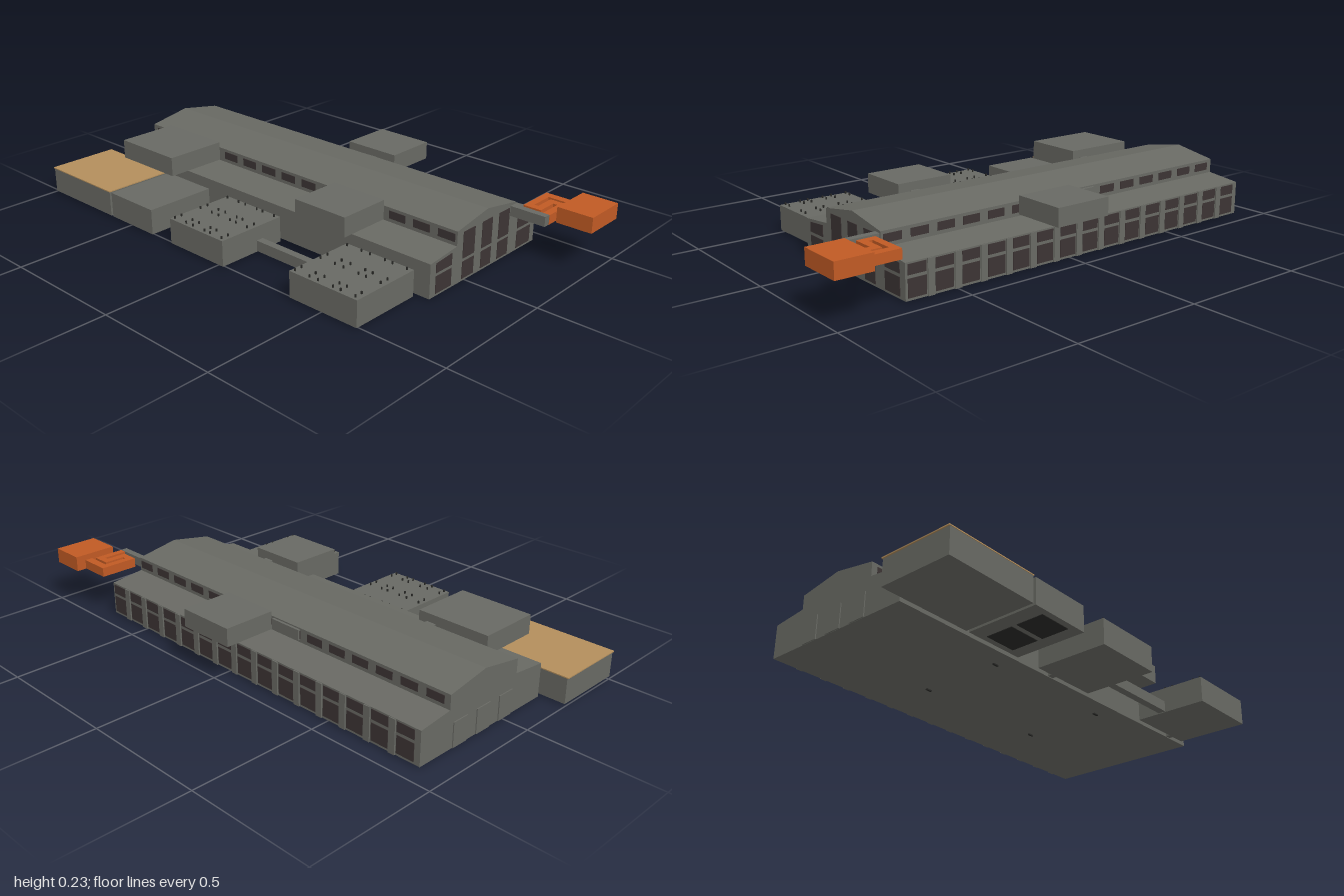
import * as THREE from 'three';

const mat = (name, color) => {
  const m = new THREE.MeshStandardMaterial({ color });
  m.name = name;
  return m;
};

export function createModel() {
  const grey = mat('concrete grey', 0x686963);
  const dark = mat('window dark', 0x3c3434);
  const orange = mat('duct orange', 0xc05a24);
  const tan = mat('roof tan', 0xb38e5c);
  const black = mat('vent black', 0x2a2a28);
  const model = new THREE.Group();
  model.name = 'factoryComplex';

  // Box given by its limits on each axis
  const box = (name, material, x0, x1, y0, y1, z0, z1, parent = model) => {
    const mesh = new THREE.Mesh(new THREE.BoxGeometry(x1 - x0, y1 - y0, z1 - z0), material);
    mesh.position.set((x0 + x1) / 2, (y0 + y1) / 2, (z0 + z1) / 2);
    mesh.name = name;
    parent.add(mesh);
    return mesh;
  };
  // Outline in x and y, extruded along z
  const prism = (name, material, points, z0, z1) => {
    const shape = new THREE.Shape(points.map(([x, y]) => new THREE.Vector2(x, y)));
    const geo = new THREE.ExtrudeGeometry(shape, { depth: z1 - z0, bevelEnabled: false });
    geo.translate(0, 0, z0);
    const mesh = new THREE.Mesh(geo, material);
    mesh.name = name;
    model.add(mesh);
  };

  // Main hall with stepped roof and raised central nave
  const back = -0.9, front = 0.71;
  prism('mainHall', grey, [
    [-0.205, 0.005], [0.428, 0.005], [0.428, 0.135], [0.29, 0.15], [0.29, 0.205],
    [0.115, 0.235], [-0.06, 0.205], [-0.06, 0.15], [-0.205, 0.135],
  ], back, front);

  // Front windows
  const zf = front - 0.001, zp = front + 0.002;
  for (const [a, b] of [[-0.025, 0.042], [0.086, 0.146], [0.188, 0.252]]) {
    box('frontWindow', dark, a, b, 0.014, 0.08, zf, zp);
    box('frontWindowUpper', dark, a, b, 0.092, 0.193, zf, zp);
  }
  for (const s of [-1, 1]) {
    const inner = 0.112 + s * 0.199, outer = 0.112 + s * 0.286;
    box('frontAisleWindow', dark, Math.min(inner, outer), Math.max(inner, outer), 0.014, 0.08, zf, zp);
    const pts = [[outer, 0.092], [inner, 0.092], [inner, 0.136], [outer, 0.128]];
    prism('frontAisleWindowUpper', dark, s < 0 ? pts : pts.reverse(), zf, zp);
  }

  // Side windows, clerestory windows and pilasters in fifteen bays
  for (let i = 0; i < 15; i++) {
    const z = 0.665 - i * 0.1075, a = z - 0.036, b = z + 0.036;
    box('sideWindow', dark, 0.426, 0.43, 0.014, 0.08, a, b);
    box('sideWindowUpper', dark, 0.426, 0.43, 0.092, 0.129, a, b);
    box('clerestoryWindowLeft', dark, 0.289, 0.292, 0.164, 0.194, a, b);
    box('clerestoryWindowRight', dark, -0.062, -0.059, 0.164, 0.194, a, b);
    if (i < 14) box('pilaster', grey, 0.427, 0.433, 0.005, 0.134, z - 0.067, z - 0.04);
  }

  // Shallow blind doors on the back wall
  for (const x of [-0.04, 0.08, 0.2]) box('backDoor', grey, x, x + 0.07, 0.006, 0.1, back - 0.004, back + 0.001);

  // Annex blocks along the right side
  const annexes = [[-0.995, -0.622], [-0.61, -0.365], [-0.255, 0.03], [0.36, 0.658]];
  for (const [a, b] of annexes) box('annex', grey, -0.513, -0.225, 0.005, 0.105, a, b);
  box('annexTanRoof', tan, -0.515, -0.223, 0.104, 0.108, -1, -0.62);
  for (const x of [-0.475, -0.4]) box('annexLink', grey, x - 0.01, x + 0.01, 0.02, 0.06, -0.623, -0.609);
  for (const x of [-0.49, -0.36]) box('annexFloorHatch', black, x, x + 0.11, 0.003, 0.006, -0.55, -0.42);

  // Low passages between annexes and hall
  box('passage', grey, -0.346, -0.316, 0.008, 0.05, 0.029, 0.361);
  for (const z of [-0.165, 0.59]) box('hallPassage', grey, -0.226, -0.204, 0.008, 0.05, z - 0.013, z + 0.013);

  // Small roof vents
  for (const [a, b] of annexes.slice(2)) {
    for (const x of [-0.5, -0.47, -0.376, -0.342, -0.24]) {
      for (const t of [0.05, 0.27, 0.4, 0.62, 0.73, 0.94]) {
        const z = a + (b - a) * t;
        box('roofVent', black, x - 0.0025, x + 0.0025, 0.104, 0.115, z - 0.0025, z + 0.0025);
      }
    }
  }

  // Raised rooms beside the nave with their links
  box('upperRoomBack', grey, -0.324, -0.075, 0.16, 0.235, -0.765, -0.463);
  box('upperRoomFront', grey, -0.284, -0.075, 0.16, 0.235, 0.165, 0.4);
  box('upperRoomLeft', grey, 0.302, 0.51, 0.16, 0.23, -0.095, 0.14);
  for (const z of [-0.52, 0.33]) box('upperLink', grey, -0.076, -0.059, 0.162, 0.203, z - 0.02, z + 0.02);
  box('upperLinkLeft', grey, 0.289, 0.303, 0.162, 0.2, 0.01, 0.05);
  box('upperGallery', grey, 0.289, 0.3, 0.16, 0.2, -0.228, -0.094);

  // Winding orange duct and end room
  box('ductCorridor', grey, 0.258, 0.285, 0.16, 0.198, 0.709, 0.852);
  const duct = new THREE.Group();
  duct.name = 'windingDuct';
  model.add(duct);
  for (const [x0, x1, z0, z1] of [
    [0.285, 0.41, 0.825, 0.853], [0.382, 0.41, 0.808, 0.825], [0.3, 0.41, 0.78, 0.808],
    [0.3, 0.328, 0.764, 0.78], [0.3, 0.455, 0.736, 0.764], [0.423, 0.455, 0.764, 0.862],
  ]) box('ductRun', orange, x0, x1, 0.16, 0.197, z0, z1, duct);
  box('orangeRoom', orange, 0.32, 0.495, 0.16, 0.22, 0.86, 1);

  // Ground studs under the hall
  for (const [x, z] of [[-0.13, 0.2], [-0.13, -0.375], [0.2, 0.2], [0.2, -0.375]]) {
    box('groundStud', black, x - 0.004, x + 0.004, 0, 0.006, z - 0.012, z + 0.012);
  }
  return model;
}
